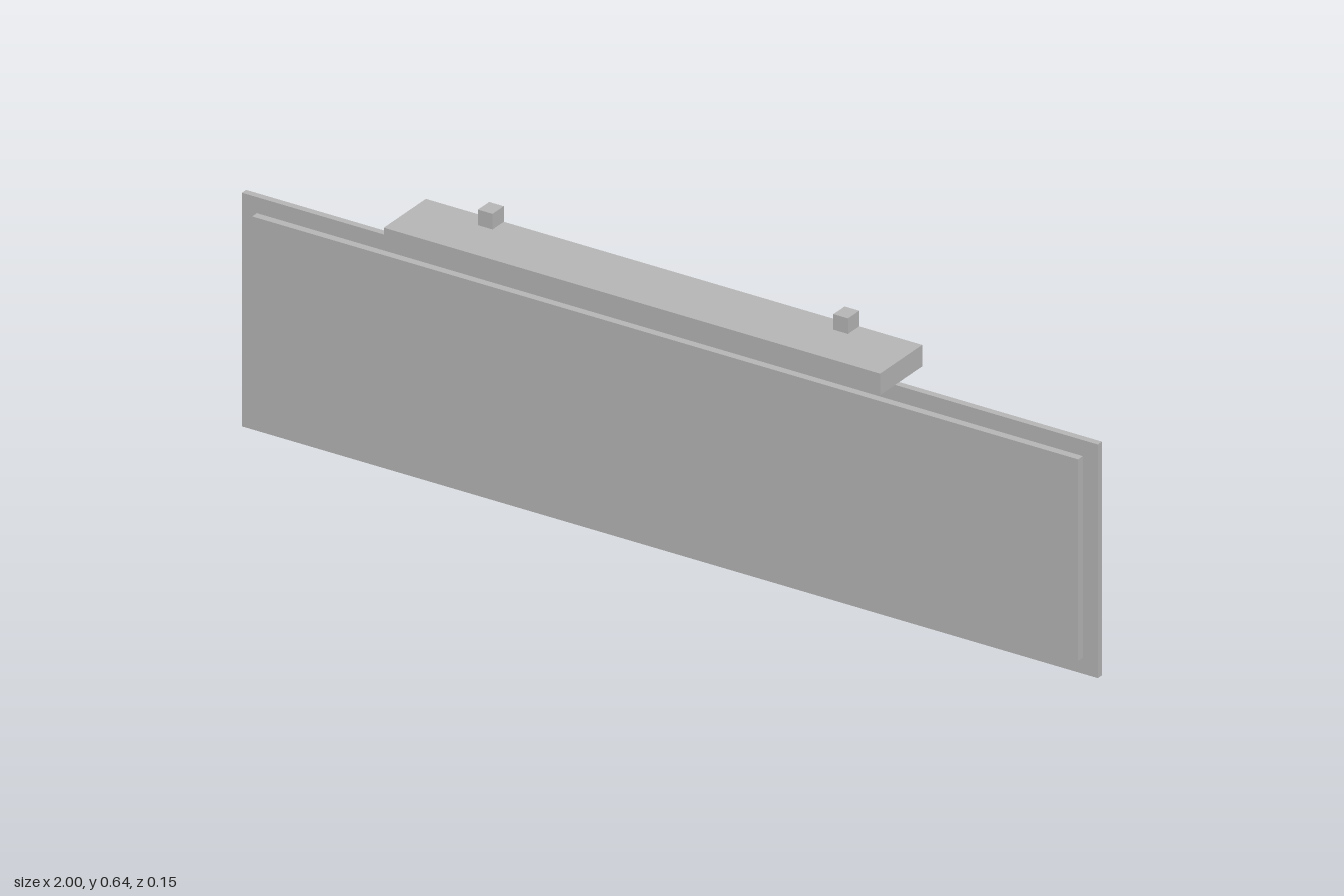
import * as THREE from 'three';

const grey = new THREE.MeshStandardMaterial({ color: 0xb6b6b6, side: THREE.DoubleSide });
grey.name = 'light grey';

// Order of the faces in a BoxGeometry, six indices each
const FACES = ['left', 'right', 'top', 'bottom', 'front', 'back'];

// Thin shell between two corners, with the listed sides left open
function shell(name, [x0, y0, z0], [x1, y1, z1], open) {
  const geometry = new THREE.BoxGeometry(x1 - x0, y1 - y0, z1 - z0);
  const index = Array.from(geometry.index.array);
  geometry.setIndex(index.filter((_, i) => !open.includes(FACES[Math.floor(i / 6)])));
  geometry.clearGroups();
  geometry.translate((x0 + x1) / 2, (y0 + y1) / 2, (z0 + z1) / 2);
  const mesh = new THREE.Mesh(geometry, grey);
  mesh.name = name;
  return mesh;
}

export function createModel() {
  const model = new THREE.Group();
  model.name = 'wallPanelWithHood';
  const back = -0.075;

  // Wide backing tray, open towards the wall, with a raised board on its front
  model.add(shell('backingTray', [-1, 0, back], [1, 0.511, -0.06], ['back']));
  model.add(shell('raisedBoard', [-0.965, 0.035, -0.06], [0.965, 0.476, -0.043], ['back']));

  // Hood above the panel, open at the back, with an inset floor
  model.add(shell('hood', [-0.58, 0.56, back], [0.58, 0.607, 0.075], ['back', 'bottom']));
  const floor = new THREE.Mesh(new THREE.PlaneGeometry(1.09, 0.115).rotateX(Math.PI / 2), grey);
  floor.name = 'hoodFloor';
  floor.position.set(0, 0.561, back + 0.0575);
  model.add(floor);

  // Two small brackets on top of the hood
  for (const side of [-1, 1]) {
    const x = side * 0.415;
    const name = side > 0 ? 'leftBracket' : 'rightBracket';
    model.add(shell(name, [x - 0.017, 0.607, back], [x + 0.017, 0.641, -0.035], ['back', 'bottom']));
  }
  return model;
}
